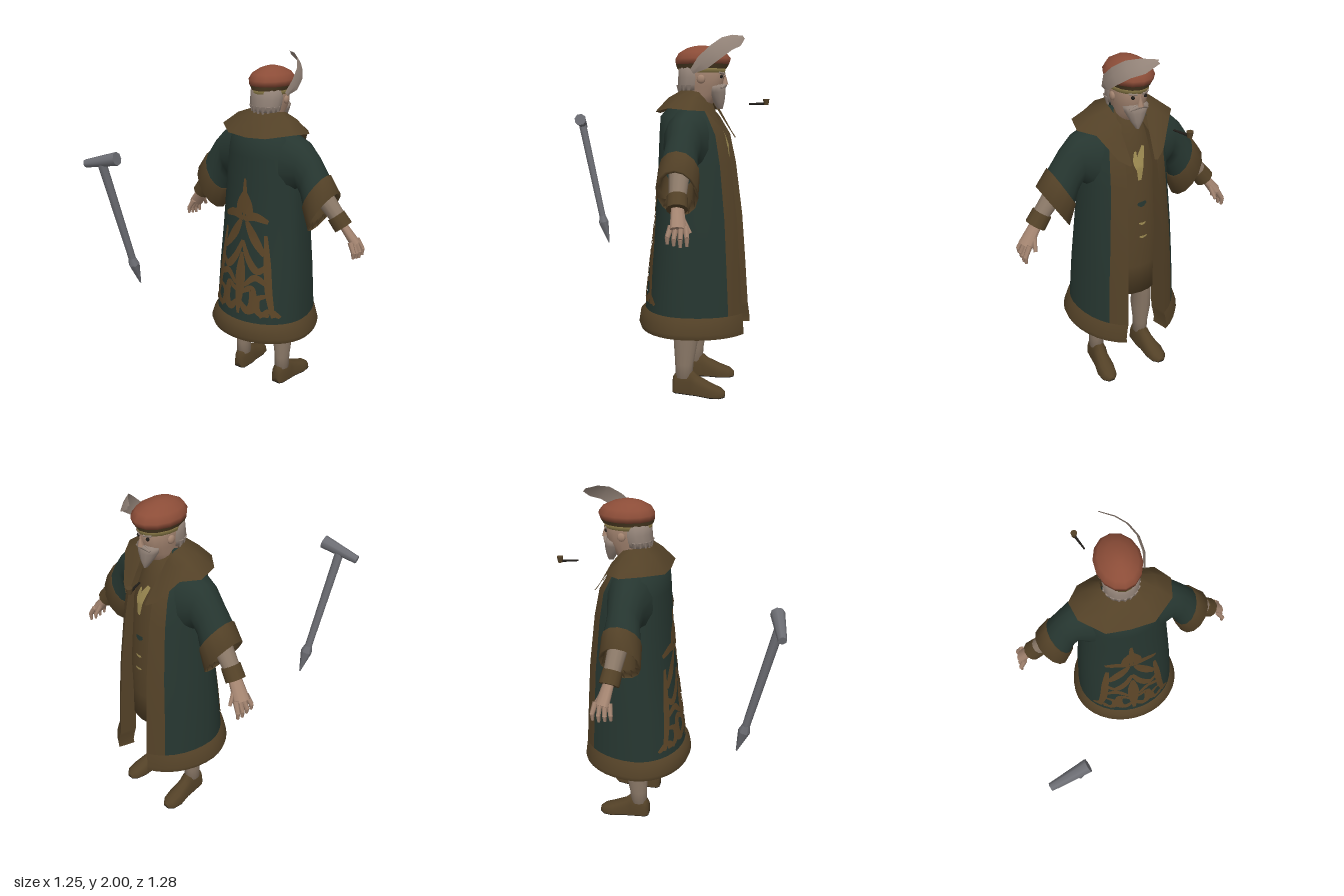
import * as THREE from 'three';

const mat = (name, color) => new THREE.MeshStandardMaterial({ name, color, side: THREE.DoubleSide });
const M = {
  green: mat('dark green cloth', 0x263630), brown: mat('brown fur trim', 0x534127),
  pattern: mat('ornament brown', 0x5c4527), red: mat('hat red', 0x8c4d38),
  skin: mat('skin', 0xa38470), stocking: mat('stocking', 0x8a7867),
  steel: mat('steel', 0x6d6e74), hair: mat('grey hair', 0x95857a),
  dark: mat('dark leather', 0x211e1a), gold: mat('gold', 0x9a8850),
};
const V = (x, y, z) => new THREE.Vector3(x, y, z);
const TAU = Math.PI * 2;

function add(parent, name, geo, material) {
  const m = new THREE.Mesh(geo, material);
  m.name = name;
  parent.add(m);
  return m;
}

// Skin over a list of rings of Vector3; closed rings may be capped
function loft(rings, closed = true, cap = closed) {
  const n = rings[0].length, pos = [], idx = [];
  rings.forEach(r => r.forEach(p => pos.push(p.x, p.y, p.z)));
  for (let k = 0; k + 1 < rings.length; k++)
    for (let i = 0; i < (closed ? n : n - 1); i++) {
      const a = k * n + i, b = k * n + (i + 1) % n;
      idx.push(a, b, b + n, a, b + n, a + n);
    }
  if (cap) [0, rings.length - 1].forEach((k, end) => {
    const c = rings[k].reduce((s, p) => s.add(p), V(0, 0, 0)).divideScalar(n);
    const ci = pos.push(c.x, c.y, c.z) / 3 - 1;
    for (let i = 0; i < n; i++) {
      const a = k * n + i, b = k * n + (i + 1) % n;
      end ? idx.push(a, b, ci) : idx.push(b, a, ci);
    }
  });
  const g = new THREE.BufferGeometry();
  g.setAttribute('position', new THREE.Float32BufferAttribute(pos, 3));
  g.setIndex(idx);
  g.computeVertexNormals();
  return g;
}

const around = (n, f) => Array.from({ length: n }, (_, i) => f(Math.cos(i / n * TAU), Math.sin(i / n * TAU)));
// Horizontal ellipse: height, half width, back z, front z, centre x
const level = ([y, w, zb, zf, x = 0], n = 16) =>
  around(n, (c, s) => V(x + w * s, y, (zb + zf) / 2 + c * (zb - zf) / 2));
const stack = (rows, n, cap = true) => loft(rows.map(r => level(r, n)), true, cap);
// Ring through a top and a bottom point in the xy plane, with z centre and half depth
const hoop = ([tx, ty, bx, by, z, rz]) =>
  around(14, (c, s) => V((tx + bx) / 2 + c * (tx - bx) / 2, (ty + by) / 2 + c * (ty - by) / 2, z + s * rz));

// Tapered round rod between two points
function rod(parent, name, material, p, q, r1, r2, sides = 8) {
  const d = q.clone().sub(p);
  const m = add(parent, name, new THREE.CylinderGeometry(r2, r1, d.length(), sides), material);
  m.position.copy(p).addScaledVector(d, 0.5);
  m.quaternion.setFromUnitVectors(V(0, 1, 0), d.normalize());
  return m;
}

// Rows hold y first, ascending; returns the interpolated row at y
function rowAt(rows, y) {
  let i = 0;
  while (i < rows.length - 2 && y > rows[i + 1][0]) i++;
  const t = THREE.MathUtils.clamp((y - rows[i][0]) / (rows[i + 1][0] - rows[i][0]), 0, 1);
  return rows[i].map((v, k) => THREE.MathUtils.lerp(v, rows[i + 1][k], t));
}

// Flat painted band along an xy curve, laid on a surface z = zAt(x, y)
function ribbon(pts, width, zAt) {
  const curve = new THREE.CatmullRomCurve3(pts.map(([x, y]) => V(x, y, 0)));
  const rings = [];
  for (let i = 0; i <= 20; i++) {
    const t = i / 20, p = curve.getPoint(t), d = curve.getTangent(t);
    const h = width / 2 * (0.45 + 0.55 * Math.sin(Math.PI * t));
    rings.push([-1, 0, 1].map(s => {
      const x = p.x - d.y * h * s, y = p.y + d.x * h * s;
      return V(x, y, zAt(x, y));
    }));
  }
  return loft(rings, false);
}

// Robe section rows: y, half width, back z, z of the front edges
const ROBE = [[0.36, 0.325, 0.055, -0.555], [0.39, 0.335, 0.066, -0.555], [0.45, 0.312, 0.058, -0.548],
  [0.475, 0.297, 0.03, -0.545], [0.75, 0.284, 0, -0.525], [1.0, 0.265, -0.03, -0.505],
  [1.3, 0.24, -0.045, -0.465], [1.46, 0.23, -0.05, -0.43], [1.56, 0.2, -0.054, -0.37],
  [1.63, 0.13, -0.12, -0.31], [1.69, 0.1, -0.17, -0.28]];
const OPEN = THREE.MathUtils.degToRad(157), ZC = -0.22;
function robePoint([y, w, zb, zf], u) {
  const a = u * OPEN, c = Math.cos(a);
  return V(w * Math.sin(a), y, ZC + c * (c > 0 ? zb - ZC : (zf - ZC) / Math.cos(OPEN)));
}
const robePatch = (rows, u0, u1, n) => loft(rows.map(r =>
  Array.from({ length: n + 1 }, (_, i) => robePoint(r, u0 + (u1 - u0) * i / n))), false);
function robeBack(x, y) {
  const [, w, zb] = rowAt(ROBE, y);
  return ZC + (zb - ZC) * Math.sqrt(Math.max(0, 1 - (x / w) ** 2)) + 0.006;
}

const TUNIC = [[0.62, 0.2, -0.1, -0.475], [0.8, 0.19, -0.12, -0.47], [1.0, 0.19, -0.12, -0.47],
  [1.4, 0.17, -0.12, -0.43], [1.55, 0.12, -0.13, -0.375], [1.66, 0.07, -0.19, -0.33]];
function tunicFront(x, y) {
  const [, w, zb, zf] = rowAt(TUNIC, y);
  return (zb + zf) / 2 - (zb - zf) / 2 * Math.sqrt(Math.max(0, 1 - (x / w) ** 2)) - 0.006;
}

function buildRobe(g) {
  const upper = ROBE.slice(3);
  add(g, 'robeHem', robePatch(ROBE.slice(0, 4), -1, 1, 32), M.brown);
  add(g, 'robeBody', robePatch(upper, -0.875, 0.875, 28), M.green);
  for (const s of [-1, 1]) {
    add(g, 'robeFrontTrim', robePatch(upper, s * 0.875, s, 2), M.brown);
    // Turned-in front edge
    add(g, 'robeFacing', loft(ROBE.map(r => {
      const p = robePoint(r, s);
      return [p, V(p.x - s * 0.03, p.y, p.z + 0.09)];
    }), false), M.brown);
  }
  // Ornament on the back of the robe: right half, mirrored
  const curves = [
    [0.03, [0, 1.34], [0, 1.24], [0, 1.1]], [0.06, [0, 1.26], [0.025, 1.18], [0.045, 1.1]],
    [0.05, [0, 1.1], [0.07, 1.125], [0.15, 1.1]], [0.055, [0.02, 1.09], [0.07, 1.0], [0.14, 0.9]],
    [0.04, [0.14, 1.02], [0.16, 0.85], [0.18, 0.67], [0.21, 0.52]],
    [0.045, [0, 0.97], [0.05, 0.86], [0.11, 0.8], [0.16, 0.84]],
    [0.04, [0, 0.9], [0.015, 0.75], [0, 0.52]], [0.04, [0.17, 0.72], [0.1, 0.76], [0.03, 0.7]],
    [0.045, [0.02, 0.66], [0.08, 0.69], [0.09, 0.6], [0.05, 0.53]],
    [0.04, [0.18, 0.66], [0.12, 0.63], [0.13, 0.55], [0.19, 0.53]],
    [0.045, [0.01, 0.6], [0.06, 0.55], [0.13, 0.57]], [0.035, [0.14, 0.52], [0.19, 0.56], [0.24, 0.52]],
  ];
  for (const [w, ...pts] of curves) for (const s of [-1, 1])
    add(g, 'backOrnament', ribbon(pts.map(([x, y]) => [x * s, y]), w, robeBack), M.pattern);
  // Wide rounded fur collar, outer edge to neck
  const outer = [[0, 1.575, -0.045], [0.13, 1.585, -0.05], [0.25, 1.605, -0.15], [0.275, 1.595, -0.265],
    [0.21, 1.59, -0.35], [0.13, 1.47, -0.435], [0.08, 1.44, -0.465]];
  const inner = [[0, 1.7, -0.165], [0.07, 1.7, -0.18], [0.1, 1.7, -0.24], [0.1, 1.69, -0.285],
    [0.085, 1.65, -0.32], [0.075, 1.56, -0.38], [0.065, 1.44, -0.46]];
  const middle = outer.map((p, i) => p.map((v, k) => (v + inner[i][k]) / 2 + (k === 1 && i < 5 ? 0.018 : 0)));
  const sweep = l => [...l.slice(1).reverse().map(([x, y, z]) => V(-x, y, z)), ...l.map(p => V(...p))];
  add(g, 'collar', loft([outer, middle, inner].map(sweep), false), M.brown);
}

// One sleeve, arm, hand, leg and shoe on the +x side
function buildSide() {
  const g = new THREE.Group();
  add(g, 'sleeve', loft([[0.15, 1.61, 0.2, 1.24, -0.235, 0.13], [0.28, 1.555, 0.255, 1.29, -0.235, 0.1],
    [0.35, 1.485, 0.275, 1.24, -0.235, 0.09], [0.415, 1.385, 0.3, 1.17, -0.235, 0.103]].map(hoop), true, false), M.green);
  add(g, 'sleeveCuff', loft([[0.41, 1.38, 0.305, 1.18, -0.235, 0.098], [0.422, 1.392, 0.292, 1.165, -0.235, 0.109],
    [0.488, 1.3, 0.33, 1.045, -0.235, 0.112], [0.455, 1.285, 0.34, 1.1, -0.235, 0.088],
    [0.38, 1.36, 0.3, 1.2, -0.235, 0.08]].map(hoop), true, false), M.brown);
  rod(g, 'forearm', M.stocking, V(0.33, 1.34, -0.235), V(0.52, 1.12, -0.26), 0.06, 0.042, 12);
  rod(g, 'wristBand', M.brown, V(0.478, 1.165, -0.253), V(0.524, 1.105, -0.262), 0.054, 0.056, 12);
  const palm = rod(g, 'palm', M.skin, V(0.515, 1.12, -0.263), V(0.593, 1.015, -0.285), 0.034, 0.045, 10);
  palm.scale.x = 0.65;
  for (let i = 0; i < 4; i++) {
    const z = -0.32 + i * 0.025, k = V(0.613, 0.97 + (i % 3 ? 0 : 0.008), z - 0.012 + i * 0.008);
    rod(g, 'finger', M.skin, V(0.583, 1.03, z), k, 0.016, 0.013, 6);
    rod(g, 'fingertip', M.skin, k, V(0.612, 0.93 + Math.abs(i - 1) * 0.007, k.z), 0.013, 0.008, 6);
  }
  rod(g, 'thumb', M.skin, V(0.545, 1.07, -0.29), V(0.56, 0.995, -0.338), 0.016, 0.01, 6);

  add(g, 'leg', stack([[0.09, 0.042, -0.175, -0.275, 0.152], [0.17, 0.042, -0.172, -0.278, 0.152],
    [0.3, 0.056, -0.162, -0.3, 0.148], [0.42, 0.055, -0.17, -0.305, 0.145], [0.7, 0.07, -0.15, -0.33, 0.12]], 14), M.stocking);
  add(g, 'breeches', stack([[0.56, 0.075, -0.14, -0.35, 0.12], [0.62, 0.092, -0.12, -0.37, 0.11],
    [0.85, 0.1, -0.12, -0.38, 0.1]], 14), M.green);

  // Shoe sections from heel to toe: z, centre x, half width, height
  const shoe = [[-0.162, 0.15, 0.028, 0.09], [-0.18, 0.15, 0.042, 0.12], [-0.27, 0.153, 0.048, 0.135],
    [-0.305, 0.158, 0.046, 0.105], [-0.38, 0.167, 0.055, 0.07], [-0.435, 0.17, 0.046, 0.05], [-0.462, 0.17, 0.02, 0.03]];
  add(g, 'shoe', loft(shoe.map(([z, x, w, h]) => around(14, (c, s) =>
    V(x + w * c, s < 0 ? 0.005 : 0.005 + (h - 0.005) * Math.pow(s, 0.7), z)))), M.brown);
  add(g, 'sole', loft(shoe.map(([z, x, w]) => [[-1, 0], [1, 0], [1, 0.006], [-1, 0.006]].map(([s, y]) =>
    V(x + s * (w - 0.002), y, z)))), M.dark);
  return g;
}

function buildHead(g) {
  add(g, 'face', stack([[1.6, 0.06, -0.2, -0.33], [1.67, 0.07, -0.18, -0.365], [1.72, 0.086, -0.16, -0.398],
    [1.78, 0.094, -0.155, -0.405], [1.85, 0.09, -0.16, -0.395]], 18), M.skin);
  add(g, 'hair', stack([[1.7, 0.088, -0.15, -0.3], [1.73, 0.094, -0.146, -0.315], [1.77, 0.098, -0.148, -0.325],
    [1.84, 0.094, -0.152, -0.33]], 14), M.hair);
  // Pointed locks around the nape
  for (let i = -4; i <= 4; i++) {
    const a = i * 0.36, x = 0.08 * Math.sin(a), z = -0.235 + 0.078 * Math.cos(a);
    rod(g, 'hairLock', M.hair, V(x * 1.05, 1.73, z), V(x, 1.665, z), 0.018, 0.002, 5);
  }
  add(g, 'beard', stack([[1.6, 0.008, -0.37, -0.4], [1.64, 0.034, -0.345, -0.41], [1.69, 0.06, -0.31, -0.415],
    [1.72, 0.07, -0.31, -0.412], [1.735, 0.04, -0.33, -0.4]], 12), M.hair);
  const nose = add(g, 'nose', new THREE.ConeGeometry(0.018, 0.06, 6), M.skin);
  nose.position.set(0, 1.762, -0.412);
  for (const s of [-1, 1]) {
    const ear = add(g, 'ear', new THREE.SphereGeometry(0.024, 8, 6), M.skin);
    ear.position.set(s * 0.094, 1.76, -0.295);
    ear.scale.x = 0.5;
    const eye = add(g, 'eye', new THREE.SphereGeometry(0.01, 8, 6), M.dark);
    eye.position.set(s * 0.034, 1.775, -0.395);
    rod(g, 'eyebrow', M.hair, V(s * 0.015, 1.792, -0.405), V(s * 0.055, 1.796, -0.388), 0.008, 0.005, 6);
    rod(g, 'moustache', M.hair, V(0, 1.732, -0.412), V(s * 0.05, 1.712, -0.398), 0.013, 0.006, 6);
  }
  // Soft hat: headband, brown underside, red crown
  add(g, 'hatBand', stack([[1.795, 0.097, -0.15, -0.41], [1.83, 0.1, -0.145, -0.415]], 18), M.gold);
  add(g, 'hatUnderside', stack([[1.818, 0.102, -0.143, -0.418], [1.842, 0.116, -0.134, -0.432]], 14, false), M.brown);
  add(g, 'hatCrown', stack([[1.842, 0.116, -0.134, -0.432], [1.872, 0.121, -0.131, -0.442], [1.905, 0.1, -0.15, -0.415],
    [1.93, 0.06, -0.195, -0.36], [1.942, 0.025, -0.24, -0.31]], 14), M.red);
  const spine = [[0.122, 1.8, -0.25, 0.015], [0.138, 1.845, -0.31, 0.04], [0.125, 1.9, -0.375, 0.045],
    [0.085, 1.945, -0.43, 0.044], [0.03, 1.967, -0.475, 0.038], [-0.04, 1.988, -0.505, 0.01]];
  add(g, 'feather', loft(spine.map(([x, y, z, w]) => [-1, 0, 1].map(s =>
    V(x + (s ? 0 : 0.008), y + s * w * 0.78, z + s * w * 0.62))), false), M.hair);
}

function buildHammer(g) {
  const top = V(-0.478, 1.5, 0.595), neck = V(-0.438, 0.9, 0.45);
  rod(g, 'hammerShaft', M.steel, neck, top, 0.021, 0.025, 8);
  rod(g, 'hammerSpikeBase', M.steel, V(-0.434, 0.86, 0.44), neck, 0.033, 0.022, 6);
  rod(g, 'hammerSpike', M.steel, V(-0.428, 0.73, 0.403), V(-0.434, 0.86, 0.44), 0.004, 0.033, 6);
  rod(g, 'hammerHead', M.steel, V(-0.578, 1.472, 0.617), V(-0.378, 1.523, 0.572), 0.022, 0.037, 8);
}

export function createModel() {
  const model = new THREE.Group();
  model.name = 'robedFigure';
  const part = (name, build) => {
    const g = new THREE.Group();
    g.name = name;
    build(g);
    model.add(g);
  };
  part('robe', buildRobe);
  part('tunic', g => {
    add(g, 'tunicBody', stack(TUNIC, 24), M.brown);
    const marks = [[0.04, [-0.03, 1.5], [0, 1.43], [0.01, 1.33]], [0.025, [0.02, 1.48], [0.025, 1.42], [0, 1.36]],
      [0.014, [-0.02, 1.08], [0, 1.075], [0.02, 1.08]], [0.014, [-0.025, 1.0], [0, 0.995], [0.02, 1.0]]];
    for (const [w, ...pts] of marks) add(g, 'goldClasp', ribbon(pts, w, tunicFront), M.gold);
    add(g, 'greenPatch', ribbon([[-0.025, 1.2], [0, 1.19], [0.025, 1.195]], 0.03, tunicFront), M.green);
  });
  part('head', buildHead);
  for (const s of [1, -1]) {
    const side = buildSide();
    side.name = s > 0 ? 'leftLimbs' : 'rightLimbs';
    side.scale.x = s;
    model.add(side);
  }
  part('hammer', buildHammer);
  part('pipe', g => {
    rod(g, 'pipeStem', M.dark, V(-0.122, 1.625, -0.53), V(-0.155, 1.628, -0.62), 0.005, 0.008, 6);
    rod(g, 'pipeBowl', M.brown, V(-0.155, 1.62, -0.622), V(-0.155, 1.652, -0.622), 0.013, 0.018, 8);
  });
  return model;
}
